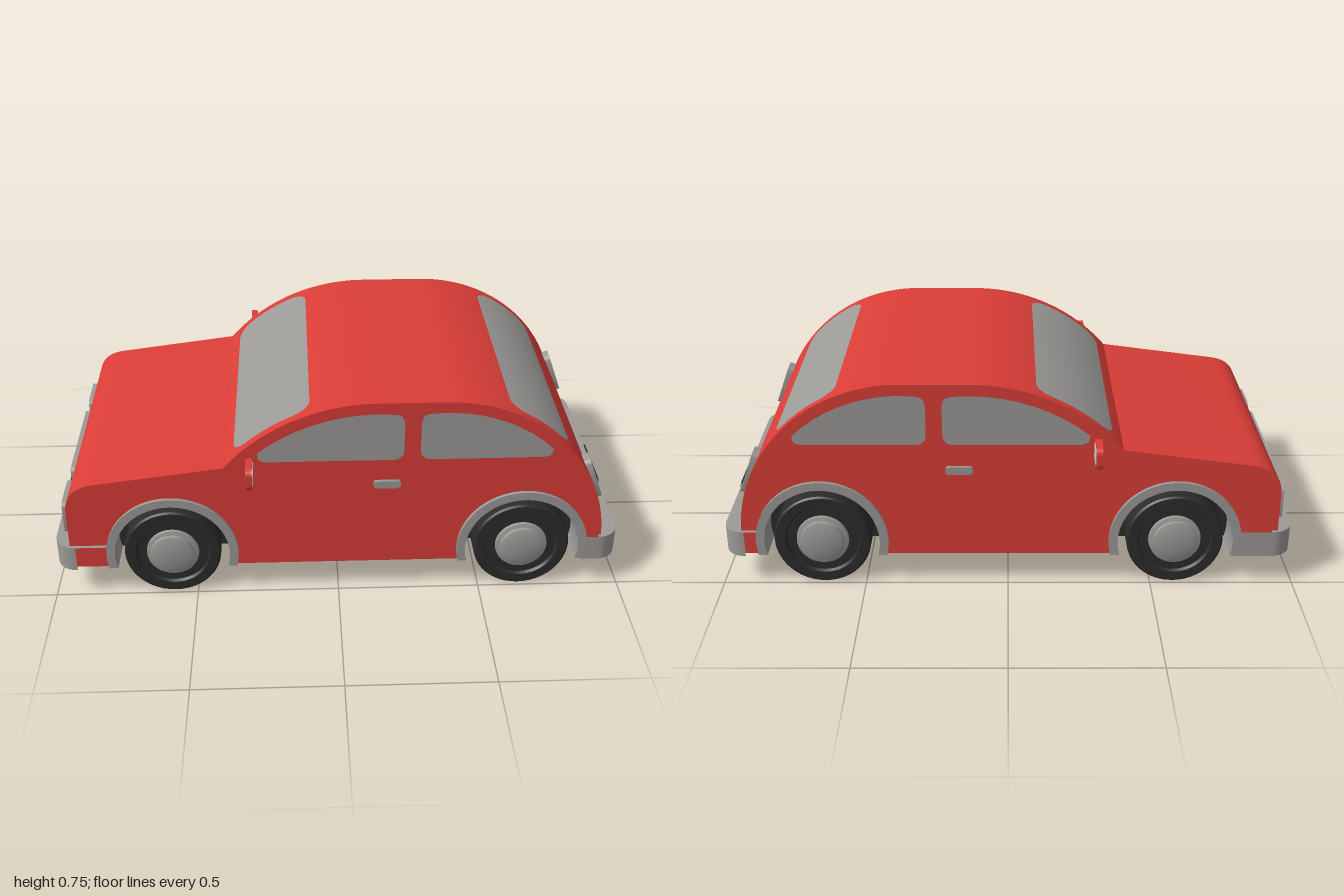
import * as THREE from 'three';
import { toCreasedNormals } from 'three/addons/utils/BufferGeometryUtils.js';

const mat = (name, color, side = THREE.FrontSide) => {
  const m = new THREE.MeshStandardMaterial({ color, side });
  m.name = name;
  return m;
};

export function createModel() {
  const car = new THREE.Group();
  car.name = 'car';
  const red = mat('red paint', 0xda3d37, THREE.DoubleSide);
  const grey = mat('grey trim', 0x9c9a97, THREE.DoubleSide);
  const black = mat('black rubber', 0x2b2b2b, THREE.DoubleSide);
  const pale = mat('pale glass', 0xc3ccc8);
  const orange = mat('orange lens', 0xdc7d1e);
  const yellow = mat('yellow lens', 0xb89e0c);

  const add = (parent, name, geo, material, x = 0, y = 0, z = 0) => {
    const m = new THREE.Mesh(geo, material);
    m.name = name;
    m.position.set(x, y, z);
    parent.add(m);
    return m;
  };
  const V = (x, y) => new THREE.Vector2(x, y);
  const W = 0.49, FLOOR = 0.115, AXLE = 0.168, wheelX = [-0.58, 0.645];

  // Quads between two rows of 3D points
  const band = (out, a0, a1, b0, b1) => out.push(...a0, ...a1, ...b1, ...a0, ...b1, ...b0);
  const geoFrom = (pos) => {
    const g = new THREE.BufferGeometry();
    g.setAttribute('position', new THREE.Float32BufferAttribute(pos, 3));
    g.computeVertexNormals();
    return toCreasedNormals(g, 0.5);
  };

  // Body profile, nose to tail: windscreen and rear window lie on two arcs
  const arc = (cx, cy, r, x0, x1, n, eased) => {
    const angle = (x) => Math.acos(THREE.MathUtils.clamp((x - cx) / r, -1, 1));
    const a0 = angle(x0), a1 = angle(x1), pts = [];
    for (let i = 0; i <= n; i++) {
      const t = eased ? (1 - Math.cos(Math.PI * i / n)) / 2 : i / n;
      const a = a0 + (a1 - a0) * t;
      pts.push(V(cx + r * Math.cos(a), cy + r * Math.sin(a)));
    }
    return pts;
  };
  const front = [0.13, 0.0717, 0.683], rear = [0.36, 0.19, 0.565];
  const nose = new THREE.QuadraticBezierCurve(V(-0.935, 0.34), V(-0.935, 0.445), V(-0.83, 0.457)).getPoints(10);
  const pieces = [
    { pts: [V(-0.935, FLOOR), ...nose, V(-0.39, 0.515)] },
    { pts: arc(...front, -0.39, -0.355, 2) },
    { pts: arc(...front, -0.355, -0.095, 28, true), pane: 'windscreen' },
    { pts: [...arc(...front, -0.095, 0.13, 10), V(0.36, 0.755)] },
    { pts: arc(...rear, 0.36, 0.58, 8) },
    { pts: arc(...rear, 0.58, 0.79, 28, true), pane: 'rearWindow' },
    { pts: [...arc(...rear, 0.79, 0.925, 14), V(0.925, FLOOR)] },
  ];
  const skin = [];
  for (const { pts, pane } of pieces) {
    const glass = [], len = [0];
    for (let i = 1; i < pts.length; i++) len.push(len[i - 1] + pts[i].distanceTo(pts[i - 1]));
    const total = len[len.length - 1], r = 0.06;
    const half = len.map((l) => {
      const d = Math.min(r, l, total - l);
      return 0.455 - r + Math.sqrt(Math.max(0, r * r - (r - d) ** 2));
    });
    const P = (i, z) => [pts[i].x, pts[i].y, z];
    for (let i = 0; i + 1 < pts.length; i++) {
      const j = i + 1;
      if (!pane) {
        band(skin, P(i, -W), P(i, W), P(j, -W), P(j, W));
        continue;
      }
      band(skin, P(i, -W), P(i, -half[i]), P(j, -W), P(j, -half[j]));
      band(glass, P(i, -half[i]), P(i, half[i]), P(j, -half[j]), P(j, half[j]));
      band(skin, P(i, half[i]), P(i, W), P(j, half[j]), P(j, W));
    }
    if (pane) add(car, pane, geoFrom(glass), grey);
  }
  add(car, 'bodySkin', geoFrom(skin), red);

  // Side window outlines with softened corners
  const soften = (pts, corners, r) => {
    const s = new THREE.Shape();
    pts.forEach((p, i) => {
      const a = pts[(i + pts.length - 1) % pts.length], b = pts[(i + 1) % pts.length];
      const move = (q) => p.clone().lerp(q, Math.min(0.5, r / p.distanceTo(q)));
      const go = (q) => (i === 0 ? s.moveTo(q.x, q.y) : s.lineTo(q.x, q.y));
      if (!corners.includes(i)) return go(p);
      const m = move(a), n = move(b);
      go(m);
      s.quadraticCurveTo(p.x, p.y, n.x, n.y);
    });
    s.closePath();
    return s;
  };
  const fTop = arc(0.13, 0.0717, 0.642, -0.275, 0.22, 10);
  const rTop = arc(0.36, 0.19, 0.525, 0.275, 0.725, 10);
  const sideWindows = {
    frontSideWindow: soften([V(-0.27, 0.535), ...fTop, V(0.22, 0.535)], [0, 11, 12], 0.04),
    rearSideWindow: soften([V(0.275, 0.535), ...rTop, V(0.72, 0.535)], [0, 1, 12], 0.04),
  };

  // Side panel with wheel openings
  const side = new THREE.Shape();
  side.moveTo(-0.935, FLOOR);
  for (const { pts } of pieces) pts.slice(1).forEach((p) => side.lineTo(p.x, p.y));
  const dip = (r) => Math.asin((AXLE - FLOOR) / r);
  for (const x of [...wheelX].reverse()) side.absarc(x, AXLE, 0.21, -dip(0.21), Math.PI + dip(0.21), false);
  side.closePath();
  for (const w of Object.values(sideWindows)) side.holes.push(new THREE.Path(w.getPoints(8)));

  // Wheel arch, well and wheel geometry
  const archShape = new THREE.Shape();
  archShape.absarc(0, 0, 0.23, -dip(0.23), Math.PI + dip(0.23), false);
  archShape.absarc(0, 0, 0.2, Math.PI + dip(0.2), -dip(0.2), true);
  const archGeo = toCreasedNormals(new THREE.ExtrudeGeometry(archShape, { depth: 0.133, bevelEnabled: false, curveSegments: 32 }), 0.5);
  const wellShape = new THREE.Shape();
  wellShape.absarc(0, 0, 0.2, -dip(0.2), Math.PI + dip(0.2), false);
  const wellGeo = new THREE.ShapeGeometry(wellShape, 32);
  const lathe = (pts) => toCreasedNormals(new THREE.LatheGeometry(pts.map((p) => V(...p)), 48), 0.5).rotateX(Math.PI / 2);
  const tyreGeo = lathe([[0, -0.06], [0.168, -0.06], [0.168, 0.054], [0.162, 0.06], [0.13, 0.06], [0.124, 0.05], [0, 0.05]]);
  const hubGeo = lathe([[0.092, 0.045], [0.09, 0.06], [0.076, 0.064], [0.074, 0.072], [0.06, 0.077], [0, 0.079]]);

  // Rounded plates, optionally hollow
  const roundRect = (w, h, r, T = THREE.Shape) => {
    const s = new T(), x = w / 2, y = h / 2, q = Math.PI / 2;
    s.absarc(x - r, y - r, r, 0, q);
    s.absarc(-x + r, y - r, r, q, 2 * q);
    s.absarc(-x + r, -y + r, r, 2 * q, 3 * q);
    s.absarc(x - r, -y + r, r, 3 * q, 4 * q);
    s.closePath();
    return s;
  };
  const plate = (w, h, r, depth, rim = 0) => {
    const s = roundRect(w, h, r);
    if (rim) s.holes.push(roundRect(w - 2 * rim, h - 2 * rim, Math.max(0.004, r - rim), THREE.Path));
    return toCreasedNormals(new THREE.ExtrudeGeometry(s, { depth, bevelEnabled: false, curveSegments: 8 }), 0.5);
  };
  const framed = (name, w, h, r, depth, rim, frameMat, lensMat, x, y, z, dir) => {
    const g = new THREE.Group();
    g.name = name;
    add(g, name + 'Frame', plate(w, h, r, depth, rim), frameMat);
    add(g, name + 'Face', plate(w - 2 * rim, h - 2 * rim, Math.max(0.004, r - rim), depth - 0.004), lensMat);
    g.position.set(x, y, z);
    g.rotation.y = dir * Math.PI / 2;
    car.add(g);
    return g;
  };

  for (const s of [1, -1]) {
    add(car, 'sidePanel', new THREE.ShapeGeometry(side, 24), red, 0, 0, s * W);
    for (const [name, w] of Object.entries(sideWindows)) add(car, name, new THREE.ShapeGeometry(w, 8), grey, 0, 0, s * W);
    add(car, 'doorHandle', plate(0.092, 0.028, 0.01, 0.02), grey, 0.165, 0.442, s > 0 ? 0.482 : -0.502);
    for (const x of wheelX) {
      add(car, 'wheelArch', archGeo, grey, x, AXLE, s > 0 ? 0.37 : -0.503);
      add(car, 'wheelWell', wellGeo, black, x, AXLE, s * 0.372);
      const wheel = new THREE.Group();
      wheel.name = 'wheel';
      add(wheel, 'tyre', tyreGeo, black);
      add(wheel, 'hubcap', hubGeo, grey);
      wheel.position.set(x, AXLE, s * 0.43);
      if (s < 0) wheel.rotation.y = Math.PI;
      car.add(wheel);
    }
    // Wing mirror, glass facing the tail
    add(car, 'mirrorStalk', new THREE.BoxGeometry(0.02, 0.026, 0.05), red, -0.3, 0.538, s * 0.505);
    const shell = add(car, 'mirrorShell', plate(0.1, 0.08, 0.022, 0.022), red, -0.311, 0.538, s * 0.565);
    const glass = add(car, 'mirrorGlass', plate(0.078, 0.058, 0.013, 0.002), pale, -0.289, 0.538, s * 0.565);
    shell.rotation.y = glass.rotation.y = Math.PI / 2;
    // Lights
    framed('headlight', 0.16, 0.125, 0.02, 0.025, 0.014, grey, yellow, -0.933, 0.283, s * 0.355, -1);
    const tail = framed('tailLight', 0.072, 0.162, 0.02, 0.024, 0.009, grey, red, 0.883, 0.385, s * 0.385, 1);
    tail.rotation.set(0, Math.PI / 2, 0.35, 'ZYX');
    add(tail, 'indicator', plate(0.054, 0.042, 0.01, 0.002), orange, 0, 0.05, 0.02);
  }
  framed('grille', 0.43, 0.125, 0.02, 0.025, 0.014, grey, pale, -0.933, 0.283, 0, -1);

  // Bumpers: wrap-around walls capped on top and open below
  const bumper = (name, dir, inner) => {
    const out = 0.99, w = 0.503, r = 0.075, lo = 0.11, hi = 0.205, s = new THREE.Shape();
    s.moveTo(inner, -w);
    s.absarc(out - r, -w + r, r, -Math.PI / 2, 0);
    s.absarc(out - r, w - r, r, 0, Math.PI / 2);
    s.lineTo(inner, w);
    const pts = s.getPoints(10), wall = [];
    for (let i = 0; i + 1 < pts.length; i++) {
      const a = pts[i], b = pts[i + 1];
      band(wall, [a.x, lo, a.y], [a.x, hi, a.y], [b.x, lo, b.y], [b.x, hi, b.y]);
    }
    const g = new THREE.Group();
    g.name = name;
    add(g, name + 'Wall', geoFrom(wall), grey);
    add(g, name + 'Top', new THREE.ShapeGeometry(s, 10).rotateX(-Math.PI / 2), grey, 0, hi, 0);
    if (dir < 0) g.rotation.y = Math.PI;
    car.add(g);
  };
  bumper('frontBumper', -1, 0.78);
  bumper('rearBumper', 1, 0.86);
  framed('frontPlate', 0.2, 0.06, 0.012, 0.012, 0.01, black, grey, -0.988, 0.158, 0, -1);
  framed('rearPlate', 0.262, 0.078, 0.016, 0.012, 0.01, black, pale, 0.988, 0.158, 0, 1);
  return car;
}
